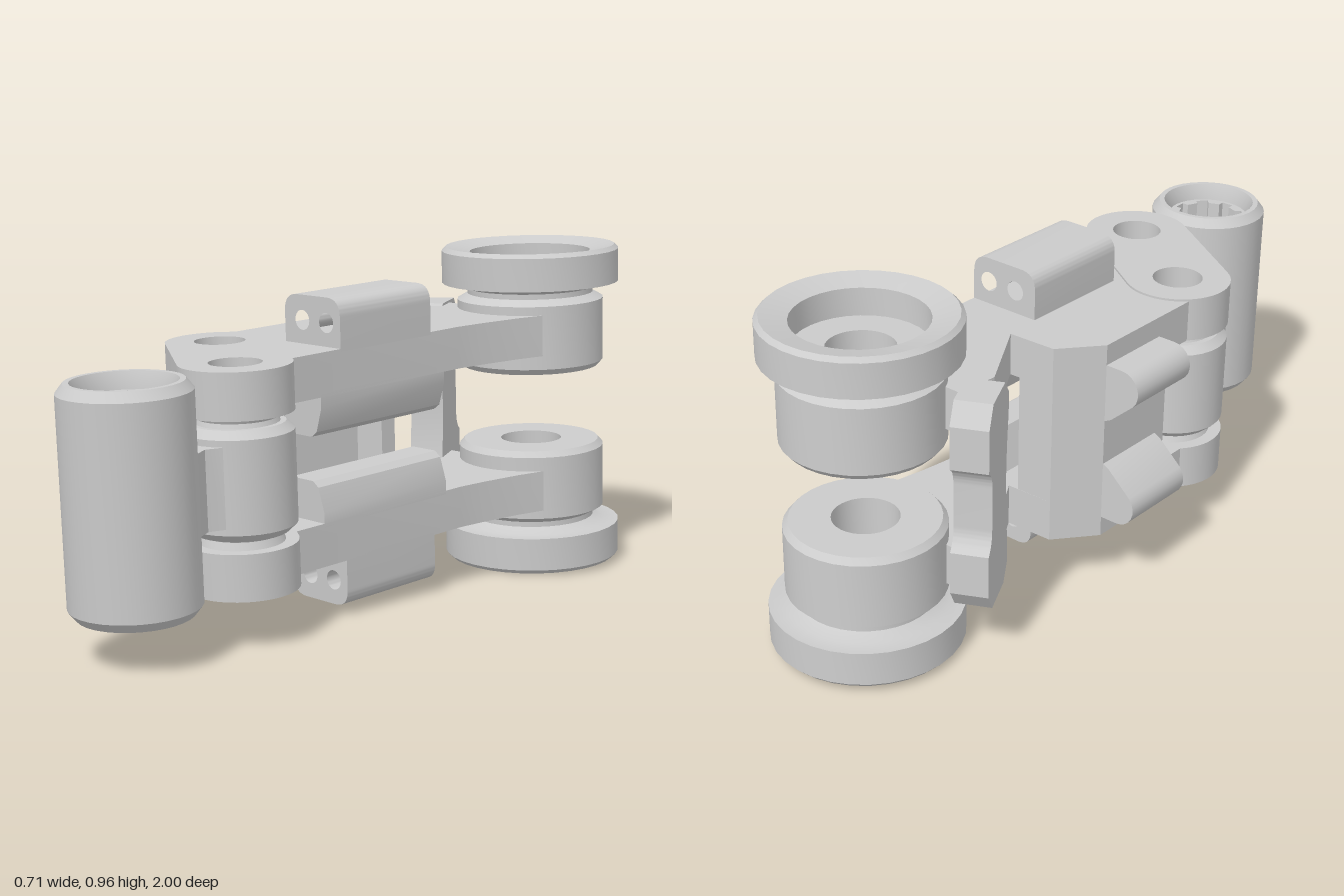
import * as THREE from 'three';
import { toCreasedNormals } from 'three/addons/utils/BufferGeometryUtils.js';

const material = new THREE.MeshStandardMaterial({ color: 0xcccccc });

function add(parent, name, geometry, x = 0, y = 0, z = 0) {
  const mesh = new THREE.Mesh(toCreasedNormals(geometry, 0.55), material);
  mesh.name = name;
  mesh.position.set(x, y, z);
  parent.add(mesh);
  return mesh;
}

const shapeOf = (pts) => new THREE.Shape(pts.map((p) => new THREE.Vector2(p[0], p[1])));
const circle = (x, y, r) => new THREE.Path().absarc(x, y, r, 0, Math.PI * 2, true);
const lathe = (pts, n = 32) => new THREE.LatheGeometry(pts.map((p) => new THREE.Vector2(p[0], p[1])), n);

// Extrudes along z from z0 to z1
function prism(shape, z0, z1) {
  const g = new THREE.ExtrudeGeometry(shape, { depth: z1 - z0, bevelEnabled: false, curveSegments: 14 });
  return g.translate(0, 0, z0);
}

// Extrudes a plan outline, drawn as (x, -z), between two heights
const slab = (shape, ya, yb) => prism(shape, Math.min(ya, yb), Math.max(ya, yb)).rotateX(-Math.PI / 2);
const plan = (pts) => shapeOf(pts.map(([x, z]) => [x, -z]));

// Plan outline wrapped around two pins of equal radius
function lozenge(a, b, r) {
  const dir = Math.atan2(-(b[1] - a[1]), b[0] - a[0]);
  const s = new THREE.Shape();
  s.absarc(a[0], -a[1], r, dir + Math.PI / 2, dir + Math.PI * 1.5, false);
  s.absarc(b[0], -b[1], r, dir - Math.PI / 2, dir + Math.PI / 2, false);
  s.closePath();
  return s;
}

export function createModel() {
  const root = new THREE.Group();
  root.name = 'hingedLink';
  const body = new THREE.Group();
  body.name = 'assembly';
  body.position.y = 0.45;
  body.rotation.x = 0.04;
  root.add(body);

  const pinA = [-0.14, 0.29], pinB = [0.15, 0.485];
  const bossX = 0.095, bossZ = -0.72, tubeX = 0.128, tubeZ = 0.82;

  const armOutline = plan([
    [0.2, 0.4], [0.2, -0.29], [0.212, -0.38], [0.235, -0.5], [0.27, -0.62], [-0.08, -0.62],
    [-0.14, -0.62], [-0.15, -0.5], [-0.02, -0.285], [-0.16, -0.28], [-0.25, -0.17], [-0.25, 0.2],
    [-0.2, 0.2], [-0.06, 0.22], [0, 0.36], [0.07, 0.42],
  ]);

  // Upper and lower halves
  for (const s of [1, -1]) {
    const side = s > 0 ? 'upper' : 'lower';
    add(body, side + 'Arm', slab(armOutline, 0.17 * s, 0.288 * s));

    // Flanged boss
    const boss = add(body, side + 'FlangedBoss', lathe([
      [0.09, 0.113], [0.2, 0.113], [0.215, 0.13], [0.215, 0.313], [0.185, 0.33], [0.185, 0.345],
      [0.215, 0.362], [0.26, 0.362], [0.26, 0.457], [0.248, 0.469], [0.177, 0.452], [0.177, 0.375],
      [0.09, 0.375], [0.09, 0.113],
    ]), bossX, 0, bossZ);
    if (s < 0) boss.rotation.x = Math.PI;

    // Clevis plate around both pins, countersunk from below
    const clevis = lozenge(pinA, pinB, 0.148);
    const bore = s > 0 ? 0.07 : 0.132;
    for (const p of [pinA, pinB]) clevis.holes.push(circle(p[0], -p[1], bore));
    add(body, side + 'ClevisPlate', slab(clevis, 0.17 * s, 0.294 * s));
    for (const p of [pinA, pinB]) {
      if (s < 0) {
        add(body, 'countersink', lathe([
          [0.134, -0.294], [0.134, -0.17], [0.07, -0.17], [0.07, -0.215], [0.132, -0.294],
        ]), p[0], 0, p[1]);
      }
      add(body, side + 'Washer', lathe([
        [0.07, 0.13], [0.115, 0.13], [0.105, 0.155], [0.115, 0.175], [0.07, 0.175], [0.07, 0.13],
      ]), p[0], s > 0 ? 0 : -0.305, p[1]);
    }

    // Rounded outer block with two bores
    const r = 0.05, top = 0.42 * s, base = 0.28 * s;
    const block = new THREE.Shape();
    block.moveTo(-0.013, base);
    block.lineTo(-0.013, top - r * s);
    block.quadraticCurveTo(-0.013, top, -0.013 + r, top);
    block.lineTo(0.2 - r, top);
    block.quadraticCurveTo(0.2, top, 0.2, top - r * s);
    block.lineTo(0.2, base);
    for (const x of [0.055, 0.147]) block.holes.push(circle(x, 0.352 * s, 0.027));
    add(body, side + 'OuterBlock', prism(block, -0.18, 0.163));

    // Chamfered inner rail
    add(body, side + 'InnerRail', prism(shapeOf([
      [0.03, 0.18 * s], [0.2, 0.18 * s], [0.2, 0.14 * s], [0.18, 0.075 * s], [0.16, 0.06 * s], [0.075, 0.06 * s],
    ]), -0.23, 0.24));

    // Side lug with a rounded end
    const lug = new THREE.Shape();
    lug.moveTo(-0.22, 0.23 * s);
    lug.lineTo(-0.3, 0.23 * s);
    for (let i = 1; i <= 8; i++) {
      const a = Math.PI / 2 + (i / 8) * 2.3;
      lug.lineTo(-0.3 + 0.055 * Math.cos(a), s * (0.175 + 0.055 * Math.sin(a)));
    }
    lug.lineTo(-0.27, 0.075 * s);
    lug.lineTo(-0.22, 0.05 * s);
    add(body, side + 'SideLug', prism(lug, -0.17, 0.06));
  }

  // Wall joining the two arms
  add(body, 'sideWall', slab(plan([
    [-0.05, -0.283], [-0.16, -0.28], [-0.25, -0.17], [-0.25, 0.1], [-0.14, 0.1], [-0.12, -0.2], [-0.05, -0.23],
  ]), -0.18, 0.18));

  // Notched guard plate beside the bosses
  const guard = new THREE.Shape();
  guard.moveTo(-0.06, -0.295);
  guard.lineTo(0.06, -0.295);
  guard.lineTo(0.1, -0.25);
  guard.lineTo(0.1, -0.19);
  guard.quadraticCurveTo(0.06, 0, 0.1, 0.19);
  guard.lineTo(0.1, 0.25);
  guard.lineTo(0.06, 0.295);
  guard.lineTo(-0.06, 0.295);
  guard.lineTo(-0.1, 0.24);
  guard.lineTo(-0.1, 0.12);
  guard.quadraticCurveTo(-0.065, 0.1, -0.065, 0.06);
  guard.lineTo(-0.065, -0.06);
  guard.quadraticCurveTo(-0.065, -0.1, -0.1, -0.12);
  guard.lineTo(-0.1, -0.24);
  add(body, 'guardPlate', prism(guard, -0.05, 0.05), -0.18, 0, -0.59).rotation.y = -1.1;

  // Middle link: two barrels, a web and a neck to the tube
  for (const p of [pinA, pinB]) {
    add(body, 'linkBarrel', lathe([
      [0.07, -0.143], [0.125, -0.143], [0.147, -0.122], [0.147, 0.122], [0.125, 0.143], [0.07, 0.143], [0.07, -0.143],
    ]), p[0], 0, p[1]);
  }
  const web = plan([
    [-0.26, 0.37], [-0.2, 0.44], [-0.03, 0.72], [0.1, 0.7], [0.24, 0.7], [0.215, 0.65], [0.235, 0.6],
    [0.27, 0.56], [0.2, 0.38], [-0.05, 0.18],
  ]);
  for (const p of [pinA, pinB]) web.holes.push(circle(p[0], -p[1], 0.075));
  add(body, 'linkWeb', slab(web, -0.105, 0.105));

  // Front tube with chamfered ends
  add(body, 'frontTube', lathe([
    [0.118, -0.25], [0.135, -0.295], [0.15, -0.295], [0.17, -0.27], [0.17, 0.27], [0.15, 0.295],
    [0.135, 0.295], [0.118, 0.25], [0.118, -0.25],
  ]), tubeX, 0, tubeZ);

  // Eight-slot splined bore
  const spline = new THREE.Shape().absarc(0, 0, 0.125, 0, Math.PI * 2, false);
  const slots = new THREE.Path();
  for (let i = 0; i < 8; i++) {
    const a = (i / 8) * Math.PI * 2;
    for (const [da, r] of [[-0.2, 0.089], [-0.17, 0.108], [0.17, 0.108], [0.2, 0.089]]) {
      const x = r * Math.cos(a + da), y = r * Math.sin(a + da);
      if (i === 0 && da === -0.2) slots.moveTo(x, y);
      else slots.lineTo(x, y);
    }
  }
  slots.closePath();
  spline.holes.push(slots);
  add(body, 'splinedBore', slab(spline, -0.25, 0.25), tubeX, 0, tubeZ);

  return root;
}
